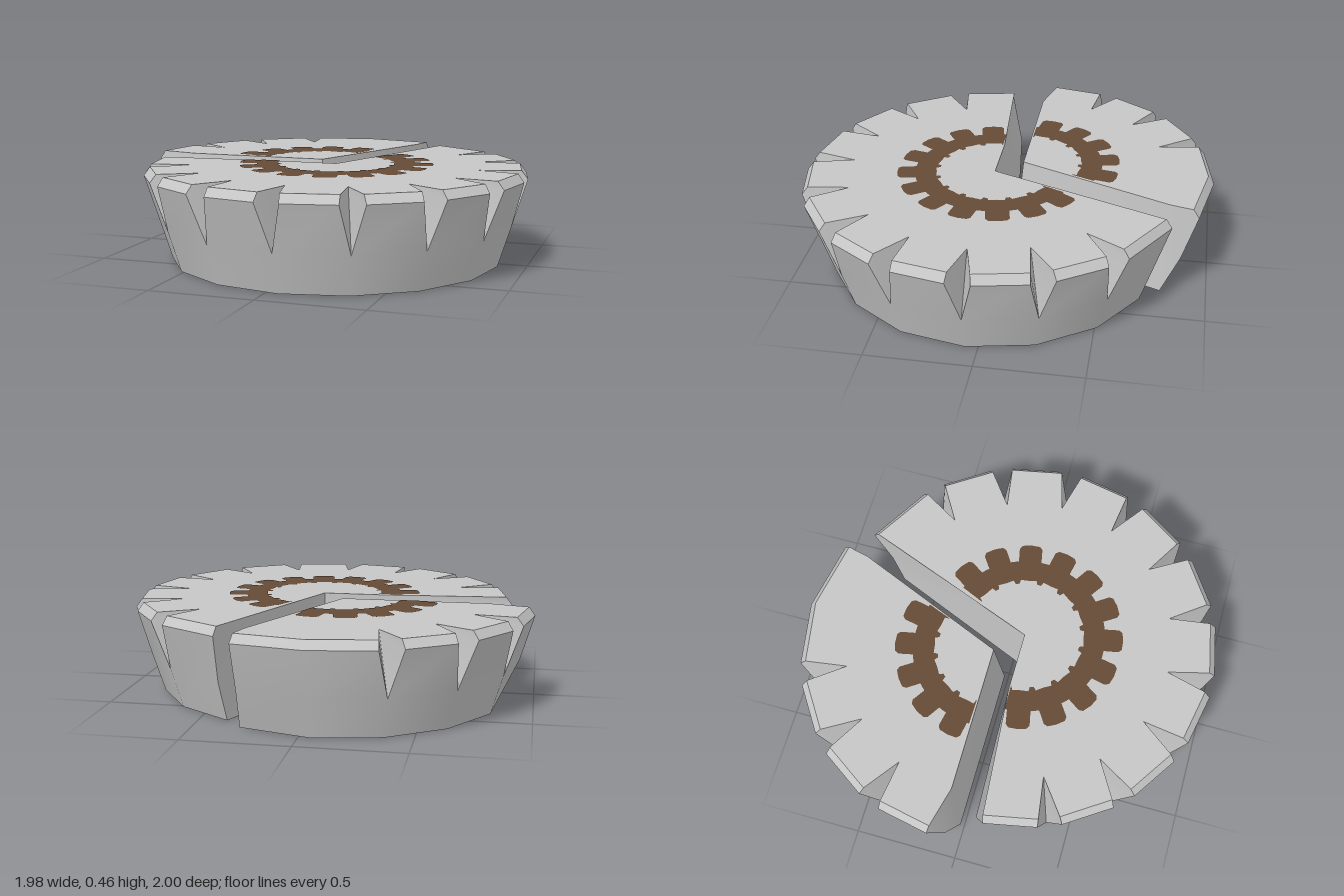
import * as THREE from 'three';
import { toCreasedNormals } from 'three/addons/utils/BufferGeometryUtils.js';

const STEP = Math.PI / 8; // sixteen rim sections in a full turn
const DEG = Math.PI / 180;

const stone = new THREE.MeshStandardMaterial({ color: 0xc6c6c6 });
stone.name = 'lightGreyStone';
const paint = new THREE.MeshStandardMaterial({ color: 0x654b37 });
paint.name = 'brownPaint';

// One broken piece of the disc, from rim section "from" to section "to".
// open(k) is the half angle of the notch at k, in degrees (0 means none).
function pieceGeometry({ x, z, from, to, open, tip, foot, footStart, footEnd }) {
  const pos = [];
  const polar = (r, y, a) => [x + r * Math.cos(a), y, z + r * Math.sin(a)];
  const fan = (...p) => {
    for (let i = 1; i < p.length - 1; i++) pos.push(...p[0], ...p[i], ...p[i + 1]);
  };
  const apexTop = [x, 0.46, z];
  const apexFoot = [foot[0], 0, foot[1]];

  // Corner points on one side of the notch at k
  const corner = (k, side) => {
    const a = k * STEP, o = open(k) * DEG * side;
    let base = polar(0.81, 0, a);
    if (k === from && footStart) base = [footStart[0], 0, footStart[1]];
    if (k === to && footEnd) base = [footEnd[0], 0, footEnd[1]];
    return {
      base,
      low: polar(0.87, 0.19, a),
      rim: polar(0.937, 0.42, a + o),
      edge: polar(0.907, 0.46, a + o * 0.9),
      tip: polar(tip(k), 0.46, a),
    };
  };

  for (let k = from; k < to; k++) {
    const s = corner(k, 1), e = corner(k + 1, -1);
    fan(apexTop, e.tip, e.edge, s.edge, s.tip);   // top
    fan(e.rim, s.rim, s.edge, e.edge);            // chamfer
    fan(e.base, s.base, s.low, e.low);            // lower wall
    fan(e.low, s.low, s.rim, e.rim);              // upper wall
    if (open(k)) fan(s.low, s.tip, s.edge, s.rim);       // notch sides
    if (open(k + 1)) fan(e.rim, e.edge, e.tip, e.low);
    fan(apexFoot, s.base, e.base);                // underside
    if (k === from) fan(s.base, apexFoot, apexTop, s.tip, s.low); // broken faces
    if (k + 1 === to) fan(e.base, e.low, e.tip, apexTop, apexFoot);
  }
  const g = new THREE.BufferGeometry();
  g.setAttribute('position', new THREE.Float32BufferAttribute(pos, 3));
  return toCreasedNormals(g, 0.5);
}

// Painted toothed ring over the same run of sections
function ringGeometry({ x, z, from, to }) {
  const outer = [], inner = [];
  const put = (list, r, a) => list.push(new THREE.Vector2(x + r * Math.cos(a), -(z + r * Math.sin(a))));
  for (let k = from; k < to; k++) {
    const a = k * STEP;
    const lo = k === from ? 1.4 : 0, hi = k + 1 === to ? 21.1 : 22.5;
    for (const [r, d] of [[0.39, lo], [0.39, 3], [0.46, 4.2], [0.475, 6], [0.478, 11.25],
      [0.475, 16.5], [0.46, 18.3], [0.39, 19.5], [0.39, hi]]) put(outer, r, a + d * DEG);
    for (const [r, d] of [[0.27, lo], [0.27, 2], [0.29, 3.5], [0.285, 11.25],
      [0.29, 19], [0.27, 20.5], [0.27, hi]]) put(inner, r, a + d * DEG);
  }
  const g = new THREE.ShapeGeometry(new THREE.Shape([...outer, ...inner.reverse()]));
  g.rotateX(-Math.PI / 2);
  g.translate(0, 0.463, 0);
  return g;
}

export function createModel() {
  const model = new THREE.Group();
  model.name = 'brokenStoneDisc';

  const pieces = {
    mainPiece: {
      x: 0.057, z: 0.06, from: -3, to: 8, foot: [0.057, 0.06],
      open: (k) => (k === -3 ? -1.8 : 3.5),
      tip: (k) => (k === -3 || k === 8 ? 0.28 : 0.71),
    },
    splitPiece: {
      x: -0.057, z: -0.063, from: 8, to: 13, foot: [-0.02, -0.02],
      footStart: [-0.83, -0.02], footEnd: [0.285, -0.78],
      open: (k) => (k === 12 ? 0 : k === 13 ? 1.2 : 3.5),
      tip: (k) => (k === 12 ? 0.907 : k === 13 ? 0.8 : 0.71),
    },
  };

  for (const [name, spec] of Object.entries(pieces)) {
    const group = new THREE.Group();
    group.name = name;
    const body = new THREE.Mesh(pieceGeometry(spec), stone);
    body.name = name + 'Body';
    const ring = new THREE.Mesh(ringGeometry(spec), paint);
    ring.name = name + 'PaintedRing';
    group.add(body, ring);
    model.add(group);
  }
  return model;
}
